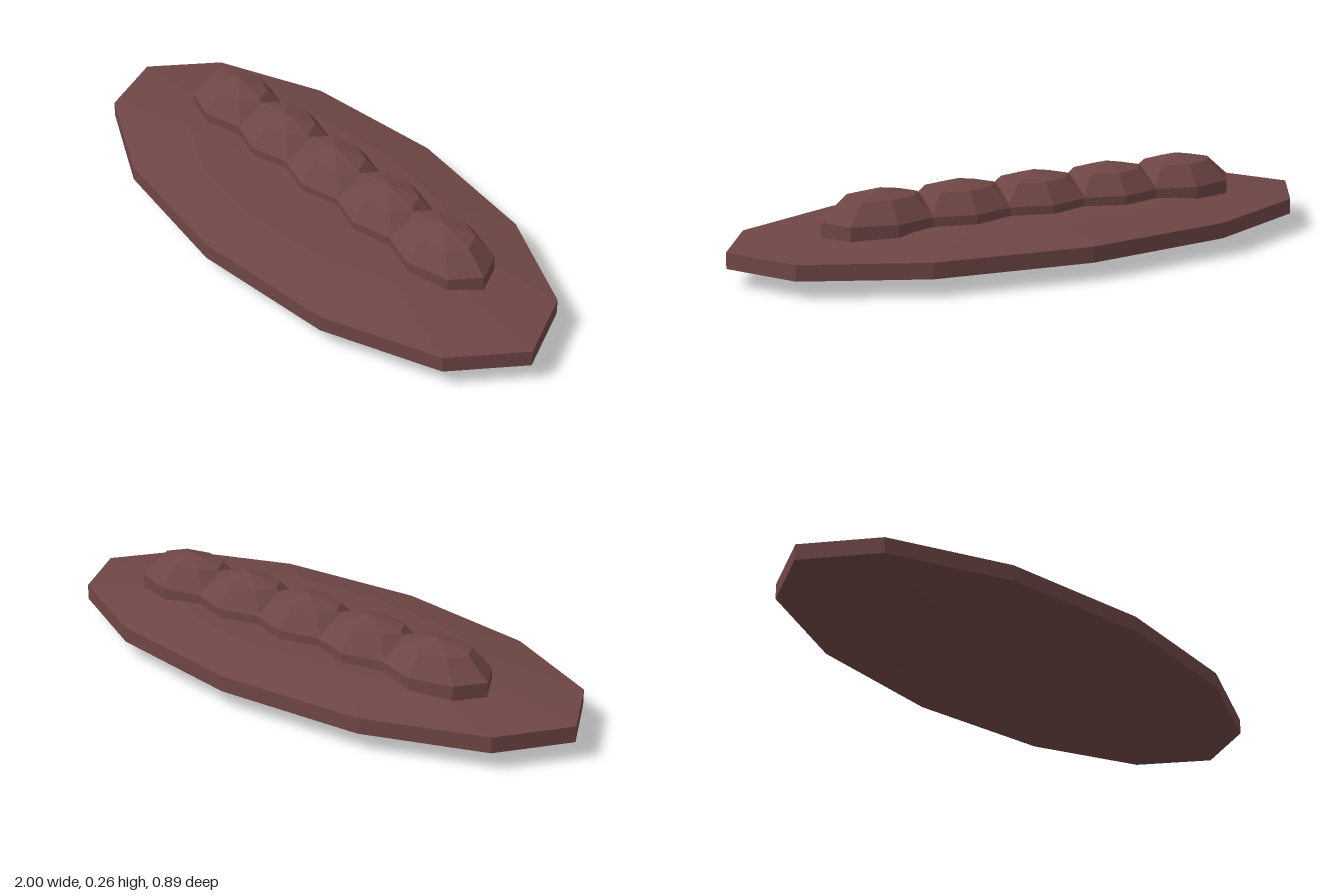
import * as THREE from 'three';

// Faceted solid of revolution squashed into an ellipse along z
function ellipticLathe(profile, sides, rx, rz, material) {
  const points = profile.map(([r, y]) => new THREE.Vector2(r, y));
  const geometry = new THREE.LatheGeometry(points, sides).scale(rx, 1, rz);
  return new THREE.Mesh(geometry, material);
}

export function createModel() {
  const model = new THREE.Group();
  const brown = new THREE.MeshStandardMaterial({ color: 0x6e4645, flatShading: true });
  brown.name = 'dark reddish brown';

  // Twelve-sided lens body with a straight rim
  const body = ellipticLathe(
    [[0, 0.004], [0.62, 0.02], [1, 0.06], [1, 0.11], [0.62, 0.149], [0, 0.163]],
    12, 1, 0.445, brown);
  body.name = 'body';
  model.add(body);

  // Row of five overlapping eight-sided domes, set toward the back
  const domes = new THREE.Group();
  domes.name = 'domeRow';
  for (let i = -2; i <= 2; i++) {
    const dome = ellipticLathe(
      [[0, 0.133], [1, 0.133], [1, 0.181], [0.62, 0.245], [0, 0.269]],
      8, 0.195, 0.132, brown);
    dome.name = 'dome' + (i + 3);
    dome.position.set(i * 0.262, 0, -0.058);
    domes.add(dome);
  }
  model.add(domes);
  return model;
}
